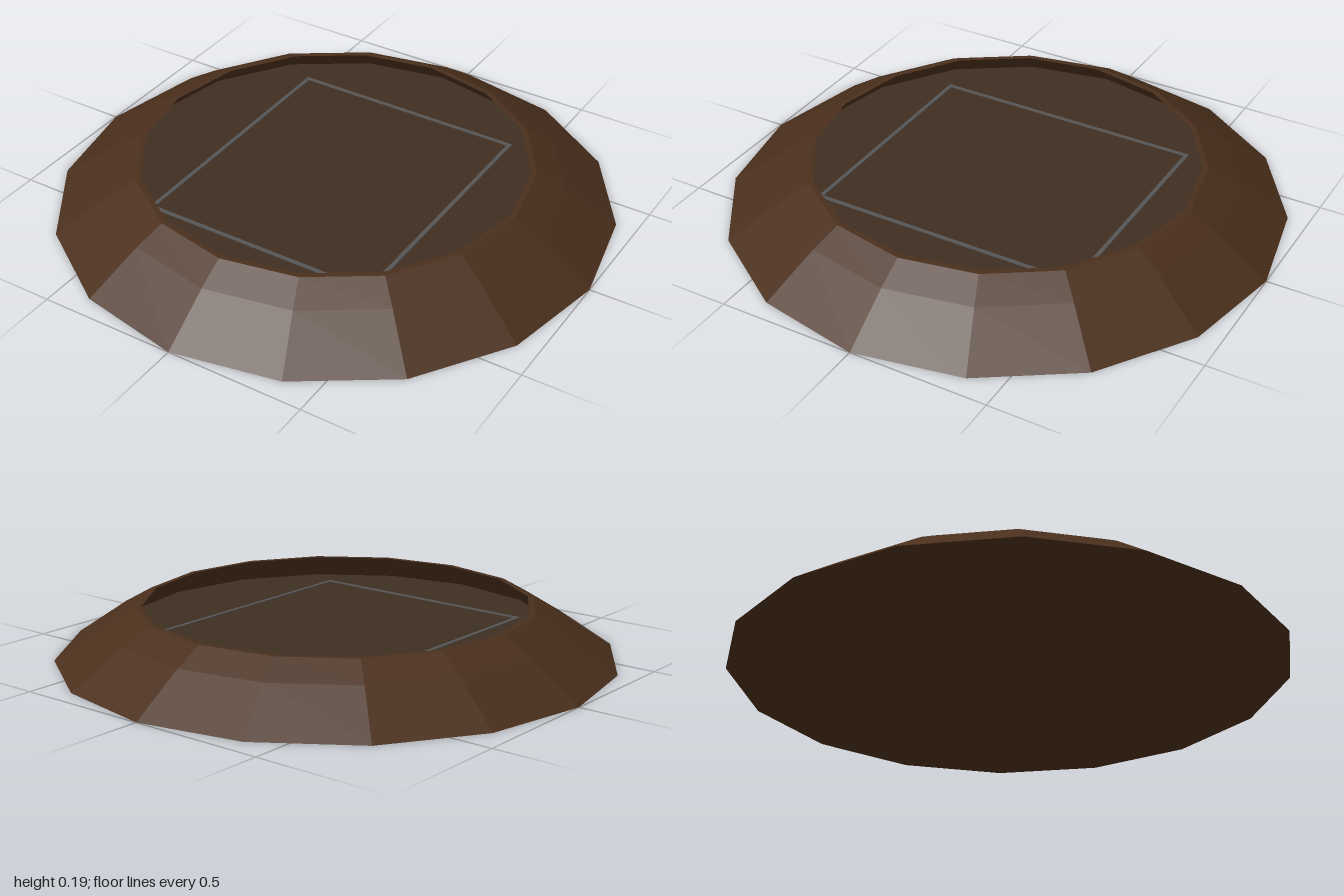
import * as THREE from 'three';

const SIDES = 16;
const FLOOR_Y = 0.095;

function material(color) {
  return new THREE.MeshStandardMaterial({ color, flatShading: true });
}

function addPart(group, name, geometry, mat) {
  const mesh = new THREE.Mesh(geometry, mat);
  mesh.name = name;
  group.add(mesh);
  return mesh;
}

export function createModel() {
  const group = new THREE.Group();
  group.name = 'shallowDish';

  // Shell: flat underside, sloped outside, narrow lip and undercut inner wall
  const profile = [
    [0, 0], [1, 0], [0.81, 0.13], [0.71, 0.187], [0.69, 0.187], [0.785, FLOOR_Y],
  ].map(([r, y]) => new THREE.Vector2(r, y));
  addPart(group, 'shell', new THREE.LatheGeometry(profile, SIDES), material(0x4a2f1c));

  // Sunken floor, its corners lined up with those of the shell
  const floor = new THREE.CircleGeometry(0.785, SIDES);
  floor.rotateX(-Math.PI / 2);
  floor.translate(0, FLOOR_Y, 0);
  addPart(group, 'floor', floor, material(0x3f2e22));

  // Thin rectangular outline lying on the floor
  const outline = new THREE.Group();
  outline.name = 'floorOutline';
  const grey = material(0x555555);
  const halfX = 0.437, halfZ = 0.5, w = 0.015, h = 0.004;
  for (const s of [-1, 1]) {
    addPart(outline, 'outlineSide', new THREE.BoxGeometry(w, h, 2 * halfZ + w), grey)
      .position.set(s * halfX, FLOOR_Y + 0.001, 0);
    addPart(outline, 'outlineEnd', new THREE.BoxGeometry(2 * halfX - w, h, w), grey)
      .position.set(0, FLOOR_Y + 0.001, s * halfZ);
  }
  group.add(outline);

  return group;
}
